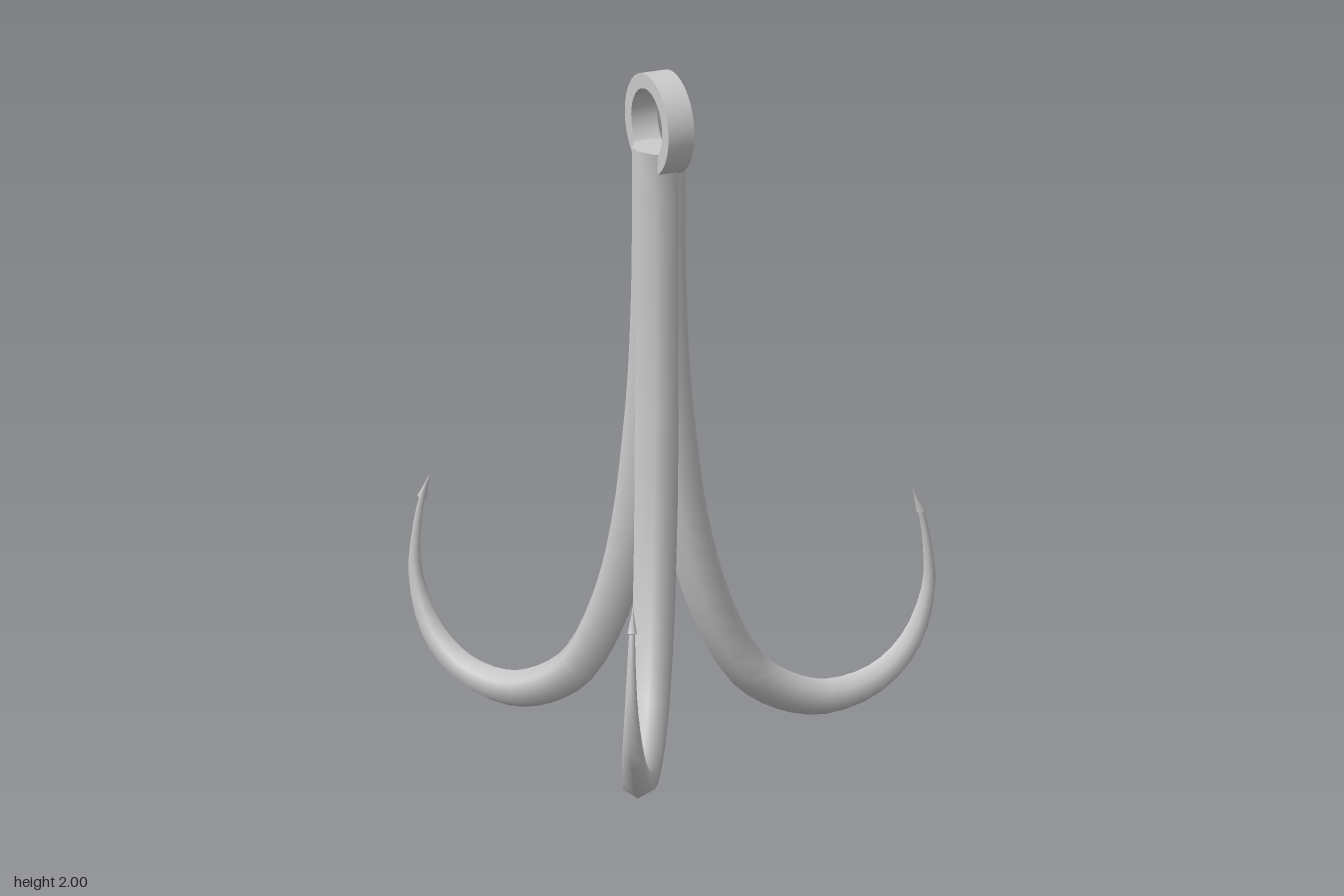
import * as THREE from 'three';
import { toCreasedNormals } from 'three/addons/utils/BufferGeometryUtils.js';

const AXIS_X = -0.22;
const SIDES = 6;

// hook centreline: distance from the shank axis, height, wire radius
const PROFILE = [
  [0.015, 1.78, 0.07], [0.017, 1.4, 0.07], [0.03, 1.1, 0.07], [0.05, 0.9, 0.07],
  [0.09, 0.64, 0.068], [0.165, 0.38, 0.066], [0.28, 0.175, 0.061], [0.4, 0.09, 0.057],
  [0.53, 0.056, 0.053], [0.685, 0.09, 0.046], [0.795, 0.187, 0.036], [0.852, 0.34, 0.022],
  [0.849, 0.47, 0.014], [0.829, 0.575, 0.009], [0.803, 0.645, 0.002],
].map((p) => new THREE.Vector3(...p));

// sweep a tapering hexagon along the centreline
function hookGeometry() {
  const curve = new THREE.CatmullRomCurve3(PROFILE, false, 'centripetal');
  const steps = 42;
  const pos = [];
  const index = [];
  const addRing = (t) => {
    const c = curve.getPoint(t);
    const d = curve.getTangent(t);
    const len = Math.hypot(d.x, d.y);
    for (let j = 0; j < SIDES; j++) {
      const a = (j / SIDES) * Math.PI * 2;
      const out = (Math.cos(a) * c.z) / len;
      pos.push(c.x - d.y * out, Math.max(0, c.y + d.x * out), Math.sin(a) * c.z);
    }
  };
  for (let i = 0; i <= steps; i++) addRing(i / steps);
  for (let i = 0; i < steps; i++) {
    for (let j = 0; j < SIDES; j++) {
      const k = (j + 1) % SIDES;
      const a = i * SIDES + j, b = i * SIDES + k;
      index.push(a, b, a + SIDES, b, b + SIDES, a + SIDES);
    }
  }
  // flat cap on the top end, with its own vertices
  const cap = pos.length / 3;
  addRing(0);
  for (let j = 1; j < SIDES - 1; j++) index.push(cap, cap + j + 1, cap + j);

  const geo = new THREE.BufferGeometry();
  geo.setAttribute('position', new THREE.Float32BufferAttribute(pos, 3));
  geo.setIndex(index);
  geo.computeVertexNormals();
  return geo;
}

// small flared arrowhead following the end of the wire
function barbGeometry() {
  const tip = PROFILE[PROFILE.length - 1];
  const dir = new THREE.Vector3(-0.026, 0.07, 0).normalize();
  const length = 0.075;
  const geo = new THREE.ConeGeometry(0.014, length, SIDES);
  geo.translate(0, -length / 2, 0);
  geo.applyQuaternion(new THREE.Quaternion().setFromUnitVectors(new THREE.Vector3(0, 1, 0), dir));
  geo.translate(tip.x, tip.y, 0);
  return geo;
}

// flat band for the line eye
function eyeGeometry() {
  const inner = 0.106, outer = 0.15, half = 0.041;
  const section = [[inner, -half], [outer, -half], [outer, half], [inner, half], [inner, -half]];
  const geo = new THREE.LatheGeometry(section.map((p) => new THREE.Vector2(...p)), 32);
  geo.rotateZ(Math.PI / 2);
  return toCreasedNormals(geo, Math.PI / 5);
}

export function createModel() {
  const model = new THREE.Group();
  model.name = 'trebleHook';
  const material = new THREE.MeshStandardMaterial({ color: 0xcccccc });
  const make = (name, geo, parent) => {
    const mesh = new THREE.Mesh(geo, material);
    mesh.name = name;
    parent.add(mesh);
    return mesh;
  };

  // three identical hooks around the shank axis
  const hookGeo = hookGeometry();
  const barbGeo = barbGeometry();
  ['leftHook', 'backHook', 'frontHook'].forEach((name, i) => {
    const hook = new THREE.Group();
    hook.name = name;
    hook.position.x = AXIS_X;
    hook.rotation.y = (i * Math.PI * 2) / 3;
    make('wire', hookGeo, hook);
    make('barb', barbGeo, hook);
    model.add(hook);
  });

  // ring at the top of the shank
  make('eyeRing', eyeGeometry(), model).position.set(AXIS_X + 0.004, 1.85, 0);

  return model;
}
